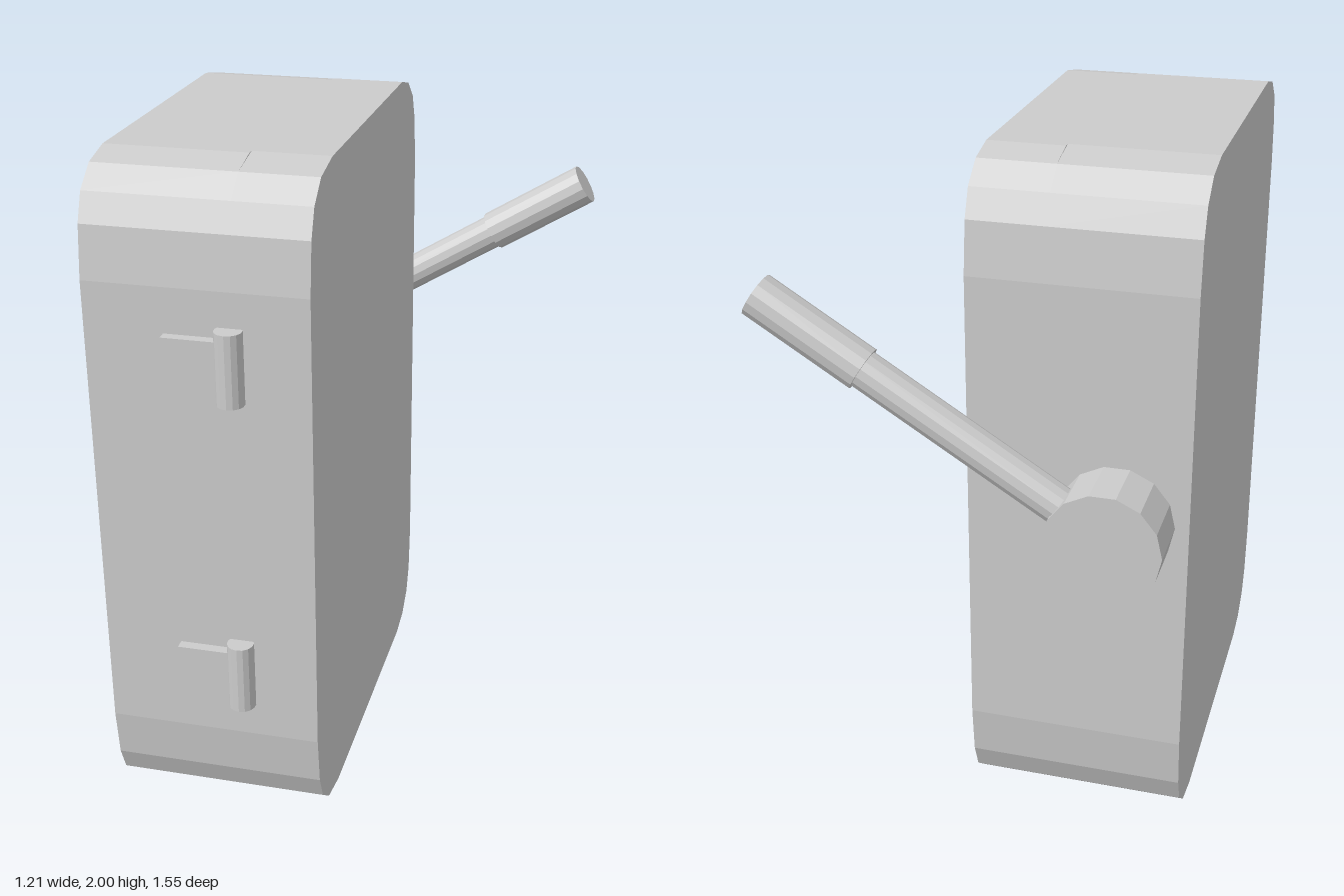
import * as THREE from 'three';

const grey = new THREE.MeshStandardMaterial({ color: 0xcccccc, flatShading: true });

function add(parent, name, geometry, x = 0, y = 0, z = 0) {
  const mesh = new THREE.Mesh(geometry, grey);
  mesh.name = name;
  mesh.position.set(x, y, z);
  parent.add(mesh);
  return mesh;
}

// Rounded side outline, swept across x from x0 to x1; shift nudges the ends of the flat top
function shell(x0, x1, shift) {
  const corner = [[0.66, 0.69], [0.643, 0.84], [0.61, 0.92], [0.54, 0.977], [0.433, 1]];
  const points = [];
  for (const [sx, sy] of [[1, 1], [-1, 1], [-1, -1], [1, -1]]) {
    const arc = corner.map(([a, b], i) =>
      new THREE.Vector2(sx * a - 0.06 - (i === 4 ? shift : 0), sy * b + 1));
    points.push(...(sx * sy > 0 ? arc : arc.reverse()));
  }
  const geometry = new THREE.ExtrudeGeometry(new THREE.Shape(points), { depth: x1 - x0, bevelEnabled: false });
  return geometry.rotateY(Math.PI / 2).translate(x0, 0, 0);
}

export function createModel() {
  const model = new THREE.Group();
  model.name = 'switchBox';

  // Case and cover meet at x = -0.2
  add(model, 'caseBody', shell(-0.61, -0.2, 0.006));
  add(model, 'coverDoor', shell(-0.2, 0.02, -0.012));

  // Hinges on the front
  for (const y of [0.525, 1.485]) {
    const hinge = new THREE.Group();
    hinge.name = 'hinge';
    hinge.position.y = y;
    add(hinge, 'hingePin', new THREE.CylinderGeometry(0.039, 0.039, 0.21, 14), -0.2, 0, 0.736);
    add(hinge, 'hingePlate', new THREE.BoxGeometry(0.185, 0.15, 0.06), -0.2925, 0, 0.72);
    model.add(hinge);
  }

  // Pivot drum on the back
  const drum = new THREE.CylinderGeometry(0.165, 0.165, 0.2, 14).rotateY(Math.PI / 2).rotateX(Math.PI / 2);
  add(model, 'pivotDrum', drum, -0.405, 1.02, -0.676);

  // Lever radiating from the drum: a thin shaft, then a thicker grip
  const lever = new THREE.Group();
  lever.name = 'lever';
  lever.position.set(-0.405, 1.02, -0.704);
  lever.rotation.z = Math.atan(0.616) - Math.PI / 2;
  const rod = (name, radius, from, to) =>
    add(lever, name, new THREE.CylinderGeometry(radius, radius, to - from, 14), 0, (from + to) / 2, 0);
  rod('leverShaft', 0.055, 0.158, 0.85);
  rod('leverGrip', 0.064, 0.798, 1.147);
  model.add(lever);

  return model;
}
